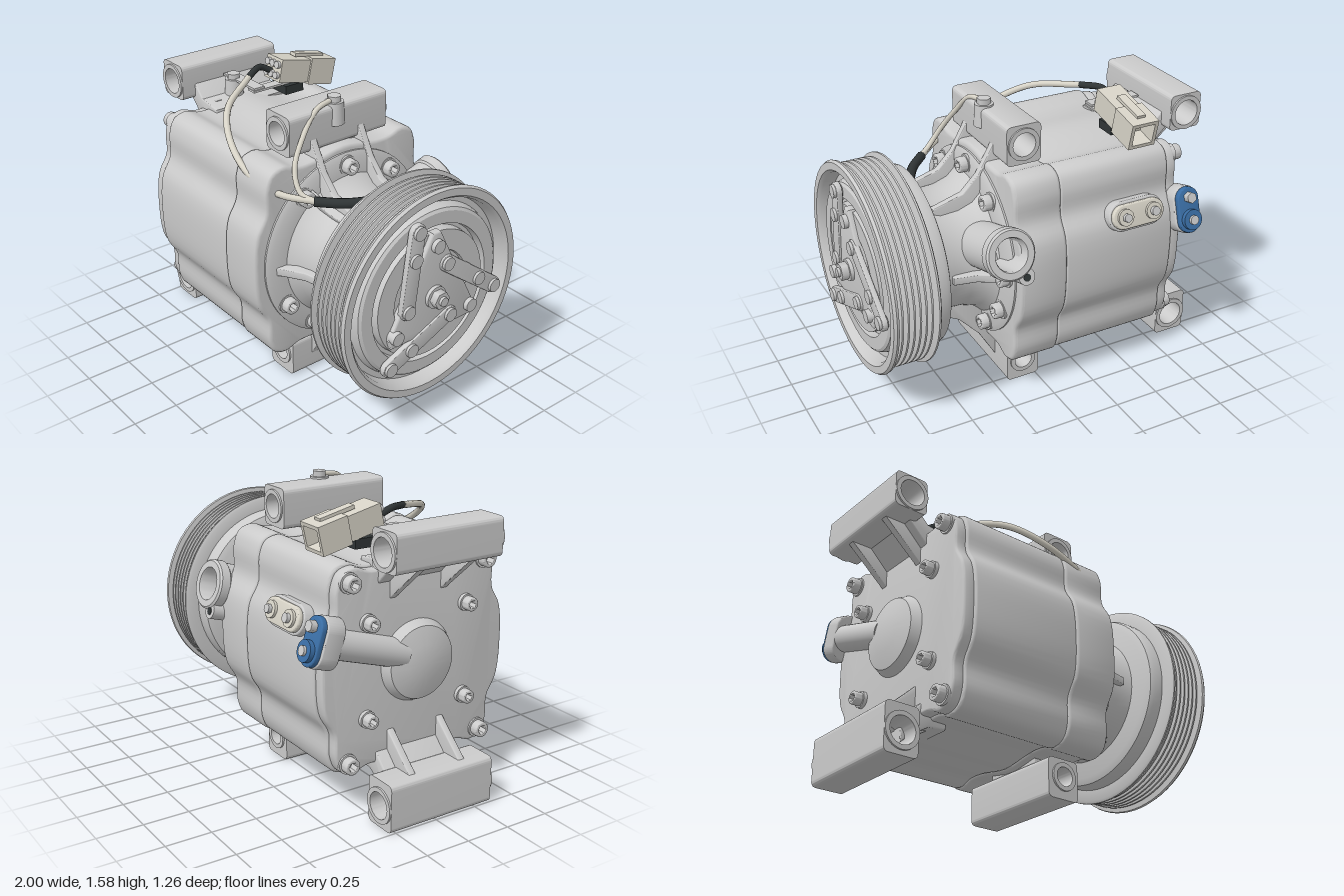
import * as THREE from 'three';
import { toCreasedNormals } from 'three/addons/utils/BufferGeometryUtils.js';

const CY = 0.775, CZ = 0.04; // shaft axis
const paint = (color) => new THREE.MeshStandardMaterial({ color, side: THREE.DoubleSide });
const V2 = (p) => new THREE.Vector2(p[0], p[1]);

export function createModel() {
  const root = new THREE.Group();
  const grey = paint(0xcccccc), blue = paint(0x3a6ea5), ivory = paint(0xd8d4c8), dark = paint(0x303536);

  const add = (name, geo, mat = grey, parent = root) => {
    const m = new THREE.Mesh(geo, mat);
    m.name = name;
    parent.add(m);
    return m;
  };
  const extrude = (shape, depth, bevel = 0) => toCreasedNormals(new THREE.ExtrudeGeometry(shape, {
    depth: depth - 2 * bevel, bevelEnabled: bevel > 0, bevelSize: bevel, bevelThickness: bevel,
    bevelOffset: -bevel, bevelSegments: 3, curveSegments: 24,
  }).translate(0, 0, bevel), 0.6);
  // (z, y) outline pushed from x0 to x1
  const alongX = (name, pts, x0, x1, bevel) =>
    add(name, extrude(new THREE.Shape(pts.map(([z, y]) => new THREE.Vector2(-z, y))), x1 - x0, bevel)
      .rotateY(Math.PI / 2).translate(x0, 0, 0));
  // (x, y) outline pushed from z0 to z1
  const alongZ = (name, pts, z0, z1, bevel = 0.008) =>
    add(name, extrude(new THREE.Shape(pts.map(V2)), z1 - z0, bevel).translate(0, 0, z0));
  // [radius, x] profile turned about the shaft
  const turned = (name, pts, z = CZ, y = CY) =>
    add(name, toCreasedNormals(new THREE.LatheGeometry(pts.map(V2), 72).rotateZ(-Math.PI / 2), 0.5).translate(0, y, z));
  const cylX = (name, r, x0, x1, y, z, seg = 24, mat = grey) =>
    add(name, new THREE.CylinderGeometry(r, r, x1 - x0, seg).rotateZ(Math.PI / 2).translate((x0 + x1) / 2, y, z), mat);
  const stadium = (len, w) => {
    const s = new THREE.Shape(), r = w / 2, h = len / 2 - r;
    s.absarc(h, 0, r, -Math.PI / 2, Math.PI / 2).absarc(-h, 0, r, Math.PI / 2, Math.PI * 1.5);
    return s;
  };
  const bolt = (x, y, z, r = 0.042, dir = 1) => {
    cylX('boltWasher', r * 1.25, Math.min(x, x + dir * 0.025), Math.max(x, x + dir * 0.025), y, z);
    const s = new THREE.Shape().absarc(0, 0, r, 0, Math.PI * 2);
    s.holes.push(new THREE.Path(Array.from({ length: 6 }, (_, i) =>
      new THREE.Vector2(r * 0.55 * Math.cos(-i * Math.PI / 3), r * 0.55 * Math.sin(-i * Math.PI / 3)))));
    add('boltHead', extrude(s, 0.07, 0.006).rotateY(dir * Math.PI / 2).translate(x, y, z));
  };

  // Housing: lobed section with four corner ears
  const q = [[0.57, 0], [0.552, 0.2], [0.495, 0.31], [0.49, 0.44], [0.455, 0.52], [0.38, 0.545], [0.3, 0.52], [0.2, 0.52]];
  const mirror = (a, sx, sy) => a.map(([u, v]) => [u * sx, v * sy]);
  const loop = [...q, [0, 0.55], ...mirror(q.slice(1), -1, 1).reverse(), [-0.57, 0],
    ...mirror(q.slice(1), -1, -1), [0, -0.55], ...mirror(q.slice(1), 1, -1).reverse()];
  const section = (k) => new THREE.CatmullRomCurve3(loop.map(([u, v]) => new THREE.Vector3(u * k, v * k, 0)), true, 'centripetal')
    .getPoints(140).slice(0, 140).map((p) => [CZ + p.x, CY + p.y]);
  alongX('rearHousing', section(1), -0.69, -0.04, 0.015);
  alongX('rearCover', section(0.975), -0.75, -0.68, 0.015);
  alongX('frontHousing', section(1.01), -0.045, 0.225, 0.02);
  turned('rearDome', [[0, -0.83], [0.1, -0.825], [0.19, -0.8], [0.22, -0.74], [0, -0.74]].reverse().map(([r, x]) => [r, x]));
  turned('neck', [[0, 0.2], [0.52, 0.2], [0.52, 0.235], [0.49, 0.25], [0.4, 0.255], [0.36, 0.3], [0.335, 0.38], [0.33, 0.48], [0.36, 0.57], [0, 0.57]]);

  // Housing bolts
  for (const s of [-1, 1]) for (const t of [-1, 1]) {
    bolt(-0.735, CY + t * 0.465, CZ + s * 0.41, 0.042, -1);
    bolt(-0.745, CY + t * 0.25, CZ + s * 0.3, 0.036, -1);
  }
  for (const a of [90, 128, 52, -30, -60, -150, -120, 180]) {
    const t = a * Math.PI / 180;
    bolt(0.23, CY + 0.455 * Math.sin(t), CZ + 0.455 * Math.cos(t));
  }

  // Mounting bars with bushed bolt holes
  const mount = (x0, x1, y0, y1, hx, hy, hr) => {
    const c = 0.03, s = new THREE.Shape();
    s.moveTo(x0 + c, y0).lineTo(x1 - c, y0).quadraticCurveTo(x1, y0, x1, y0 + c).lineTo(x1, y1 - c)
      .quadraticCurveTo(x1, y1, x1 - c, y1).lineTo(x0 + c, y1).quadraticCurveTo(x0, y1, x0, y1 - c)
      .lineTo(x0, y0 + c).quadraticCurveTo(x0, y0, x0 + c, y0);
    s.holes.push(new THREE.Path().absarc(hx, hy, hr, 0, Math.PI * 2, true));
    add('mountBar', extrude(s, 0.63).translate(0, 0, -0.28));
    const ring = new THREE.Shape().absarc(hx, hy, hr + 0.02, 0, Math.PI * 2);
    ring.holes.push(new THREE.Path().absarc(hx, hy, hr - 0.004, 0, Math.PI * 2, true));
    add('mountBushing', extrude(ring, 0.65).translate(0, 0, -0.29));
  };
  mount(-1, -0.81, 1.315, 1.515, -0.905, 1.41, 0.075);
  mount(-1, -0.81, 0.005, 0.26, -0.905, 0.125, 0.075);
  mount(-0.02, 0.175, 1.325, 1.54, 0.08, 1.435, 0.068);
  mount(-0.02, 0.175, 0.005, 0.22, 0.08, 0.125, 0.055);

  // Slabs and webs joining the bars to the housing
  alongZ('upperRearSlab', [[-0.88, 1.34], [-0.72, 1.18], [-0.6, 1.18], [-0.6, 1.31], [-0.74, 1.33], [-0.81, 1.4]], -0.2, 0.27);
  alongZ('lowerRearSlab', [[-0.86, 0.1], [-0.81, 0.15], [-0.7, 0.22], [-0.6, 0.23], [-0.6, 0.38], [-0.72, 0.36], [-0.86, 0.22]], -0.2, 0.27);
  alongZ('upperFrontSlab', [[0, 1.2], [0.15, 1.2], [0.15, 1.35], [0, 1.35]], -0.13, 0.22);
  alongZ('lowerFrontSlab', [[0, 0.2], [0.15, 0.2], [0.15, 0.35], [0, 0.35]], -0.13, 0.22);
  for (const z of [-0.13, 0.18]) {
    alongZ('upperRearWeb', [[-0.98, 1.325], [-0.735, 1.11], [-0.68, 1.11], [-0.68, 1.325]], z, z + 0.04, 0.005);
    alongZ('lowerRearWeb', [[-0.95, 0.25], [-0.82, 0.14], [-0.68, 0.22], [-0.68, 0.46], [-0.735, 0.45]], z, z + 0.04, 0.005);
    alongZ('upperFrontWeb', [[0, 0.95], [0.52, 0.95], [0.52, 1.1], [0.35, 1.15], [0.26, 1.24], [0.17, 1.4], [0, 1.35]], z, z + 0.04, 0.005);
    alongZ('lowerFrontWeb', [[0, 0.2], [0.17, 0.09], [0.27, 0.26], [0.39, 0.39], [0.52, 0.46], [0.52, 0.62], [0, 0.62]], z, z + 0.04, 0.005);
  }
  for (const a of [0, 1, -1, Math.PI]) {
    const rib = new THREE.Shape([[0.2, 0.2], [0.5, 0.2], [0.5, 0.355], [0.38, 0.38], [0.28, 0.44], [0.2, 0.5]].map(V2));
    add('neckRib', extrude(rib, 0.045, 0.005).translate(0, 0, -0.022).rotateX(Math.PI / 2 + a).translate(0, CY - 0.01, CZ));
  }

  // Grooved pulley with recessed clutch face
  const belt = [];
  for (let i = 0; i < 6; i++) {
    const x = 0.69 + i * 0.032;
    belt.push([0.515, x], [0.553, x + 0.011], [0.553, x + 0.021]);
  }
  turned('pulley', [[0, 0.56], [0.45, 0.56], [0.485, 0.575], [0.495, 0.6], [0.495, 0.655], [0.555, 0.66], [0.57, 0.668], [0.57, 0.678],
    ...belt, [0.515, 0.882], [0.572, 0.892], [0.575, 0.905], [0.565, 0.92], [0.525, 0.92], [0.51, 0.9], [0.5, 0.84], [0.47, 0.84],
    [0.455, 0.885], [0.44, 0.895], [0.375, 0.895], [0.37, 0.85], [0.35, 0.85], [0.345, 0.9], [0.24, 0.9], [0.235, 0.885], [0, 0.885]]);

  // Triangular drive plate, spring straps, rivets and shaft nut
  const plate = [[0.065, 1.13], [0.015, 1.13], [-0.25, 0.62], [-0.24, 0.57], [0.31, 0.57], [0.325, 0.62]];
  alongX('drivePlate', plate, 0.88, 0.925, 0.008);
  const rivet = (y, z) => cylX('rivet', 0.036, 0.9, 0.95, y, z);
  const arm = [[0.168, 1.175], [0.185, 1.03], [0.218, 0.755]]; // z, y of one strap's rivets
  for (let k = 0; k < 3; k++) {
    const c = Math.cos(k * 2 * Math.PI / 3), s = Math.sin(k * 2 * Math.PI / 3);
    const spin = ([z, y]) => [CZ + (z - CZ) * c - (y - CY) * s, CY + (z - CZ) * s + (y - CY) * c];
    const p = arm.map(spin), top = spin([CZ, 1.06]);
    p.forEach(([z, y]) => rivet(y, z));
    rivet(top[1], top[0]);
    const dz = p[2][0] - p[0][0], dy = p[2][1] - p[0][1];
    add('springStrap', extrude(stadium(Math.hypot(dz, dy) + 0.09, 0.09), 0.03, 0.004)
      .rotateZ(Math.atan2(dy, -dz)).rotateY(Math.PI / 2)
      .translate(0.905, (p[0][1] + p[2][1]) / 2, (p[0][0] + p[2][0]) / 2));
  }
  cylX('hubWasher', 0.06, 0.91, 0.945, CY, CZ, 32);
  cylX('shaftNut', 0.048, 0.94, 0.985, CY, CZ, 6);
  cylX('shaftEnd', 0.025, 0.97, 1, CY, CZ);

  // Ports on the back side, tipped slightly upward: local y points outward
  const port = (name, x, y, z) => {
    const g = new THREE.Group();
    g.name = name;
    g.position.set(x, y, z);
    g.rotation.x = -1.265;
    root.add(g);
    return g;
  };
  const stub = (name, r, y0, y1, g, x = 0, z = 0, mat = grey, seg = 28) =>
    add(name, new THREE.CylinderGeometry(r, r, y1 - y0, seg).translate(x, (y0 + y1) / 2, z), mat, g);
  const slab = (name, len, w, y0, y1, g, mat, turn = 0) =>
    add(name, extrude(stadium(len, w), y1 - y0, 0.008).rotateX(-Math.PI / 2).rotateY(turn).translate(0, y0, 0), mat, g);

  const inlet = port('inletPort', 0.3, 1.0, -0.56);
  add('inletTube', toCreasedNormals(new THREE.LatheGeometry([[0, -0.42], [0.125, -0.42], [0.125, -0.06], [0.135, -0.05],
    [0.135, 0], [0.125, 0.01], [0.09, 0.01], [0.085, 0], [0.085, -0.25], [0, -0.25]].map(V2), 40), 0.5), grey, inlet);
  stub('inletEar', 0.045, -0.12, 0, inlet, -0.07, -0.13);
  stub('inletEarHole', 0.02, -0.02, 0.003, inlet, -0.07, -0.135, dark);

  const rearPort = port('rearPort', -0.755, 0.985, -0.55);
  stub('rearPortTube', 0.075, -0.52, 0, rearPort);
  slab('rearPortBase', 0.26, 0.15, -0.1, 0.005, rearPort, grey, Math.PI / 2);
  slab('rearPortCap', 0.25, 0.13, 0, 0.035, rearPort, blue, Math.PI / 2);
  stub('capCollar', 0.055, 0.03, 0.06, rearPort, 0, -0.05, blue);
  stub('capScrew', 0.03, 0.03, 0.07, rearPort, 0, 0.07, grey, 6);
  stub('capPin', 0.025, 0.05, 0.075, rearPort, 0, -0.05);

  const sidePort = port('sidePort', -0.45, 1.03, -0.53);
  slab('sidePortBase', 0.33, 0.16, -0.14, 0.005, sidePort, grey);
  slab('sidePortPlate', 0.31, 0.13, 0, 0.03, sidePort, ivory);
  for (const s of [-1, 1]) {
    stub('plateCollar', 0.045, 0.02, 0.045, sidePort, s * 0.085, 0, ivory);
    stub('plateScrew', 0.024, 0.04, 0.065, sidePort, s * 0.085, 0, grey, s > 0 ? 6 : 24);
  }

  // Electrical connector and its bracket
  const plug = new THREE.Group();
  plug.name = 'connector';
  plug.position.set(-0.535, 1.455, -0.25);
  plug.rotation.x = -0.22;
  root.add(plug);
  const box = (name, w, h, d, x, y, z, mat, g) => add(name, new THREE.BoxGeometry(w, h, d).translate(x, y, z), mat, g);
  box('plugBody', 0.14, 0.13, 0.26, 0, 0, 0.05, ivory, plug);
  const shell = new THREE.Shape([[-0.08, -0.075], [0.08, -0.075], [0.08, 0.075], [-0.08, 0.075]].map(V2));
  shell.holes.push(new THREE.Path([[-0.06, -0.055], [-0.06, 0.055], [0.06, 0.055], [0.06, -0.055]].map(V2)));
  add('plugShell', extrude(shell, 0.17).translate(0, 0, -0.19), ivory, plug);
  box('plugLatch', 0.05, 0.02, 0.2, 0, 0.08, -0.04, ivory, plug);
  for (let i = 0; i < 6; i++)
    add('wireSeal', new THREE.CylinderGeometry(0.02, 0.02, 0.02, 16).rotateX(Math.PI / 2)
      .translate(-0.042 + (i % 3) * 0.042, i < 3 ? 0.03 : -0.03, 0.188), grey, plug);
  box('plugClip', 0.13, 0.05, 0.12, -0.535, 1.37, -0.17, dark, root);
  box('bracketStrip', 0.3, 0.012, 0.07, -0.65, 1.415, 0.05, grey, root);
  box('bracketLeg', 0.06, 0.012, 0.25, -0.53, 1.4, -0.04, grey, root);
  const clip = (x, y, z) => {
    add('clipPost', new THREE.CylinderGeometry(0.05, 0.055, 0.12, 24).translate(x, y - 0.06, z));
    add('clipScrew', new THREE.CylinderGeometry(0.038, 0.038, 0.03, 6).translate(x, y + 0.015, z));
  };
  clip(-0.72, 1.415, 0.07);
  clip(0.14, 1.55, 0.04);

  // Wires
  const wire = (name, pts, r, mat) => add(name, new THREE.TubeGeometry(
    new THREE.CatmullRomCurve3(pts.map((p) => new THREE.Vector3(...p))), 48, r, 10), mat);
  wire('wireBoot', [[-0.55, 1.47, -0.08], [-0.56, 1.51, 0], [-0.49, 1.5, 0.13]], 0.018, dark);
  wire('mainWire', [[-0.49, 1.5, 0.13], [-0.32, 1.44, 0.38], [-0.15, 1.35, 0.485], [0.05, 1.25, 0.515], [0.23, 1.19, 0.46], [0.38, 1.17, 0.34]], 0.018, ivory);
  wire('wireSleeve', [[0.37, 1.17, 0.35], [0.47, 1.165, 0.24], [0.54, 1.16, 0.1], [0.54, 1.13, 0.04]], 0.026, dark);
  wire('groundWire', [[0.14, 1.56, 0.06], [0.16, 1.54, 0.17], [0.19, 1.43, 0.28], [0.24, 1.3, 0.37], [0.31, 1.2, 0.385], [0.38, 1.17, 0.34]], 0.014, ivory);

  return root;
}
